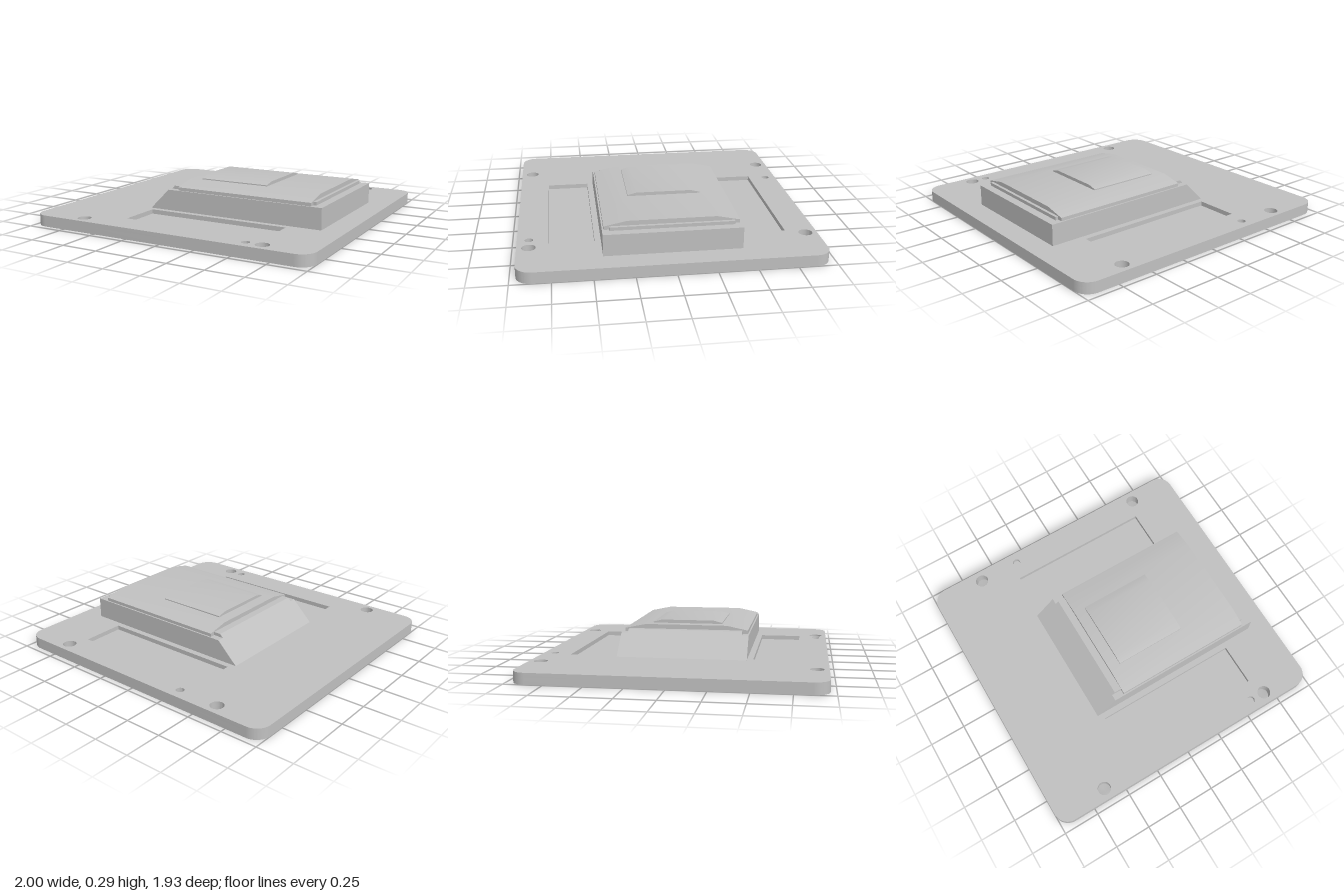
import * as THREE from 'three';
import { toCreasedNormals } from 'three/addons/utils/BufferGeometryUtils.js';

export function createModel() {
  const model = new THREE.Group();
  model.name = 'coverPlate';
  const grey = new THREE.MeshStandardMaterial({ color: 0xc0c0c0 });
  grey.name = 'grey';

  const add = (name, geometry) => {
    const mesh = new THREE.Mesh(toCreasedNormals(geometry, 0.5), grey);
    mesh.name = name;
    model.add(mesh);
  };
  const outline = (points) => new THREE.Shape(points.map(([a, b]) => new THREE.Vector2(a, b)));
  const rect = (x0, x1, z0, z1) => outline([[x0, -z0], [x0, -z1], [x1, -z1], [x1, -z0]]);
  const circle = (x, z, r) => new THREE.Shape().absarc(x, -z, r, 0, Math.PI * 2);
  const extrude = (shape, depth) =>
    new THREE.ExtrudeGeometry(shape, { depth, bevelEnabled: false, curveSegments: 16 });

  // Plan shape raised from y0 to y1
  const slab = (name, shape, holes, y0, y1) => {
    shape.holes.push(...holes);
    add(name, extrude(shape, y1 - y0).rotateX(-Math.PI / 2).translate(0, y0, 0));
  };
  // Side profile (x, y) swept from z0 to z1
  const sweepZ = (name, points, z0, z1) =>
    add(name, extrude(outline(points), z1 - z0).translate(0, 0, z0));
  // End profile (z, y) swept from x0 to x1
  const sweepX = (name, points, x0, x1) =>
    add(name, extrude(outline(points), x1 - x0).rotateY(Math.PI / 2).translate(x0, 0, 0));

  // Base plate with rounded corners, in two layers so the pockets have floors
  const plateShape = () => {
    const w = 1, d = 0.963, r = 0.1, s = new THREE.Shape();
    s.absarc(w - r, d - r, r, 0, Math.PI / 2);
    s.absarc(r - w, d - r, r, Math.PI / 2, Math.PI);
    s.absarc(r - w, r - d, r, Math.PI, Math.PI * 1.5);
    s.absarc(w - r, r - d, r, Math.PI * 1.5, Math.PI * 2);
    s.closePath();
    return s;
  };
  const screwHoles = () =>
    [-0.63, 0.67].flatMap((x) => [-0.887, 0.887].map((z) => circle(x, z, 0.045)));
  const floorY = 0.045, plateTop = 0.075, bodyTop = 0.216, neckTop = 0.238;
  slab('plateLower', plateShape(), [...screwHoles(), rect(-0.415, 0.95, -0.37, 0.37)], 0, floorY);
  slab('plateUpper', plateShape(), [
    ...screwHoles(),
    rect(-0.415, 0.845, -0.37, 0.37),
    rect(-0.38, 0.625, -0.763, -0.475),
    rect(-0.38, 0.625, 0.475, 0.763),
    circle(-0.34, -0.887, 0.027),
    circle(0.56, 0.887, 0.027),
  ], floorY, plateTop);

  // Hollow housing: two cheeks, sloped end, straight end and ceiling
  const cheek = [[-0.415, plateTop], [0.845, plateTop], [0.845, bodyTop], [-0.272, bodyTop]];
  sweepZ('housingCheekLeft', cheek, 0.37, 0.435);
  sweepZ('housingCheekRight', cheek, -0.435, -0.37);
  sweepZ('housingSlope', [[-0.415, 0], [-0.39, 0], [-0.2, 0.19], [-0.2, bodyTop],
    [-0.272, bodyTop], [-0.415, plateTop]], -0.37, 0.37);
  sweepZ('housingEnd', [[0.82, floorY], [0.845, floorY], [0.845, bodyTop], [0.82, bodyTop]], -0.37, 0.37);
  slab('housingCeiling', rect(-0.2, 0.82, -0.37, 0.37), [rect(-0.12, 0.45, -0.17, 0.17)], 0.19, bodyTop);

  // Neck under the lid, with a lip that continues the slope
  slab('neck', rect(-0.25, 0.79, -0.39, 0.39), [rect(-0.12, 0.45, -0.17, 0.17)], bodyTop, neckTop);
  sweepZ('neckLip', [[-0.272, bodyTop], [-0.25, bodyTop], [-0.25, neckTop]], -0.39, 0.39);

  // Lid with sloping sides and upright edges
  sweepX('lid', [[-0.425, neckTop], [0.425, neckTop], [0.28, 0.268], [-0.28, 0.268]], -0.2, 0.77);
  for (const [name, z] of [['lidEdgeLeft', 0.39], ['lidEdgeRight', -0.425]]) {
    slab(name, rect(-0.2, 0.77, z, z + 0.035), [], bodyTop, neckTop);
  }

  // Raised pad on the lid
  sweepX('pad', [[-0.24, 0.268], [0.24, 0.268], [0.24, 0.275], [0.18, 0.29],
    [-0.18, 0.29], [-0.24, 0.275]], -0.12, 0.375);

  return model;
}
